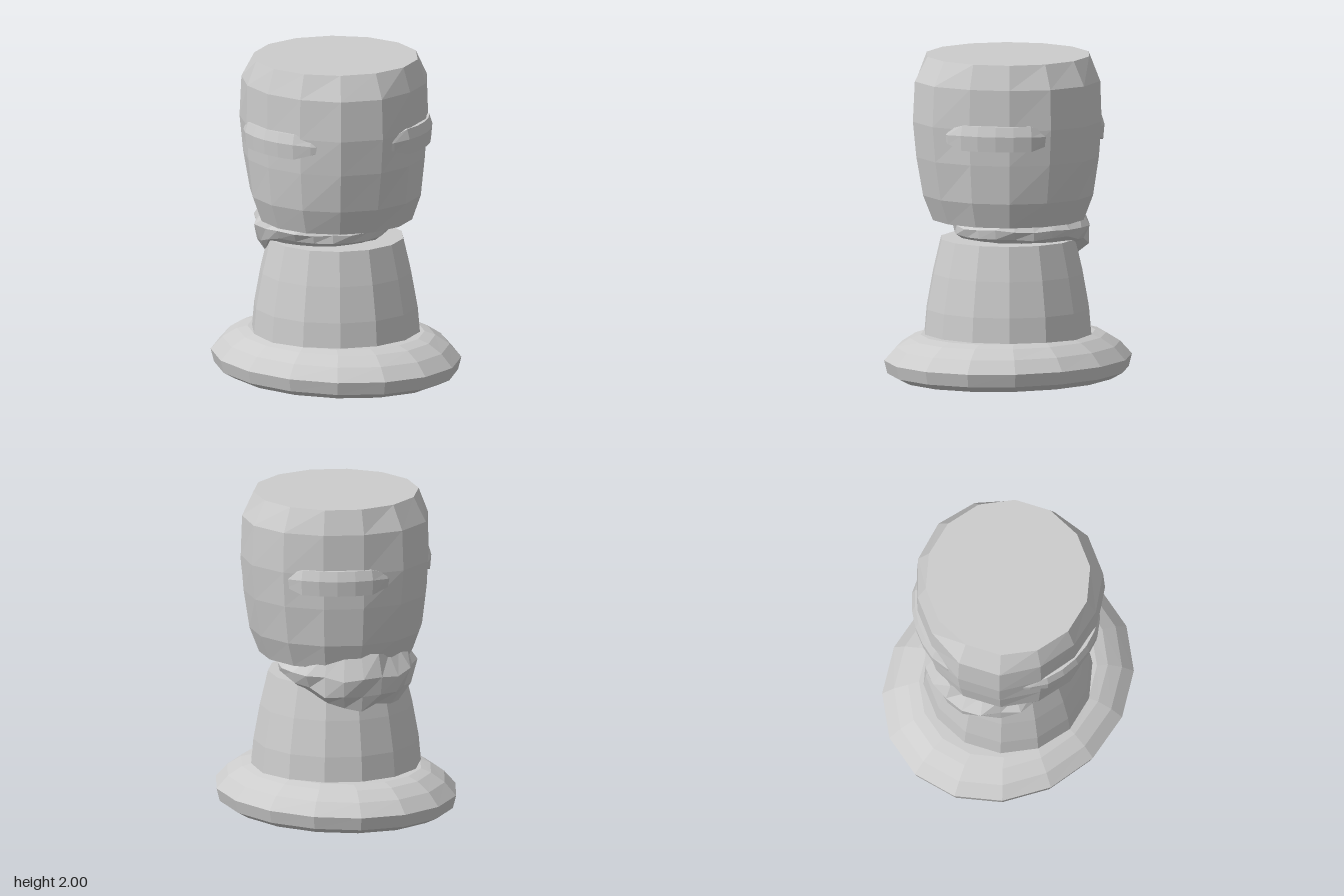
import * as THREE from 'three';

const stone = new THREE.MeshStandardMaterial({ color: 0xcccccc, flatShading: true });
stone.name = 'grey stone';

// Skin a list of rows (bottom to top) of points; azimuth runs from +z toward +x.
function loft(name, rows, closed = true) {
  const n = rows[0].length, cols = closed ? n : n - 1, index = [];
  for (let i = 0; i < rows.length - 1; i++) {
    for (let j = 0; j < cols; j++) {
      const k = (j + 1) % n;
      const a = i * n + j, b = i * n + k, c = (i + 1) * n + k, d = (i + 1) * n + j;
      index.push(a, b, c, a, c, d);
    }
  }
  const g = new THREE.BufferGeometry();
  g.setAttribute('position', new THREE.Float32BufferAttribute(rows.flat(2), 3));
  g.setIndex(index);
  g.computeVertexNormals();
  const mesh = new THREE.Mesh(g, stone);
  mesh.name = name;
  return mesh;
}

// Elliptical ring of points, with an optional rule that alters the radius.
function ring(n, rx, rz, y, rule = () => 1) {
  return Array.from({ length: n }, (_, j) => {
    const a = Math.PI / 2 + (j / n) * Math.PI * 2, s = rule(a);
    return [Math.sin(a) * rx * s, y, Math.cos(a) * rz * s];
  });
}

const RIDGES = [30, 150, 270].map(THREE.MathUtils.degToRad);
const angleGap = (a, b) => Math.abs(Math.atan2(Math.sin(a - b), Math.cos(a - b)));

function noise(seed) {
  return () => {
    seed = (seed * 16807) % 2147483647;
    return seed / 2147483647 - 0.5;
  };
}

// Lumpy band round the neck, swelling into a thick roll at the back.
function makeScarf() {
  const rnd = noise(77), n = 22;
  // inset from outer edge, height fraction
  const section = [[0.16, 0.08], [0.07, 0], [0.015, 0.25], [0, 0.6], [0.05, 1], [0.16, 0.92]];
  const rows = section.map(([inset, h]) => Array.from({ length: n }, (_, j) => {
    const a = (j / n) * Math.PI * 2;
    const back = THREE.MathUtils.smoothstep(-Math.cos(a), -0.1, 0.9);
    const low = 0.85 - 0.12 * back, high = 1.0 + 0.07 * back;
    const jit = 0.02 + 0.02 * back;
    const r = 0.425 - inset + rnd() * jit;
    return [
      Math.sin(a) * r,
      low + (high - low) * h + rnd() * jit,
      -0.125 + Math.cos(a) * r,
    ];
  }));
  rows.push(rows[0]);
  return loft('scarf', rows);
}

// Shallow raised band on the head, tapering to a point at both ends.
function makeRidge(centre) {
  const section = [[0, -0.5], [1, -0.5], [1.15, 0.1], [0.8, 0.5], [0, 0.5]];
  const rows = section.map(([out, h]) => Array.from({ length: 9 }, (_, j) => {
    const t = j / 4 - 1;
    const grow = Math.min(1, (1 - Math.abs(t)) * 2);
    const a = centre + t * 0.76;
    const r = 0.53 + out * (0.025 + 0.03 * grow);
    return [Math.sin(a) * r, 1.55 + h * (0.03 + 0.125 * grow), Math.cos(a) * r];
  }));
  return loft('headRidge', rows, false);
}

export function createModel() {
  const model = new THREE.Group();
  model.name = 'neckBust';

  // Oval pedestal
  const base = [[0, 0, 0], [0.63, 0.725, 0], [0.70, 0.81, 0.04], [0.72, 0.83, 0.12],
    [0.65, 0.755, 0.2], [0.565, 0.665, 0.255], [0.51, 0.585, 0.275], [0, 0, 0.275]];
  model.add(loft('base', base.map(([x, z, y]) => ring(16, x, z, y))));

  // Tapered neck
  const neck = [[0.525, 0.26], [0.51, 0.43], [0.47, 0.65], [0.42, 0.862], [0, 0.862]];
  model.add(loft('neck', neck.map(([r, y]) => ring(14, r, r, y))));

  // Barrel-shaped head, slightly flattened behind each ridge
  const head = [[0, 0.985, 0], [0.475, 0.985, 0], [0.537, 1.14, 0.015], [0.58, 1.38, 0.045],
    [0.602, 1.6, 0.065], [0.59, 1.85, 0.05], [0.51, 2, 0], [0, 2, 0]];
  model.add(loft('head', head.map(([r, y, dent]) => ring(14, r, r, y, (a) => {
    const gap = Math.min(...RIDGES.map((c) => angleGap(a, c)));
    return 1 - dent * (1 - THREE.MathUtils.smoothstep(gap, 0.3, 0.8));
  }))));
  RIDGES.forEach((c) => model.add(makeRidge(c)));

  model.add(makeScarf());
  return model;
}
